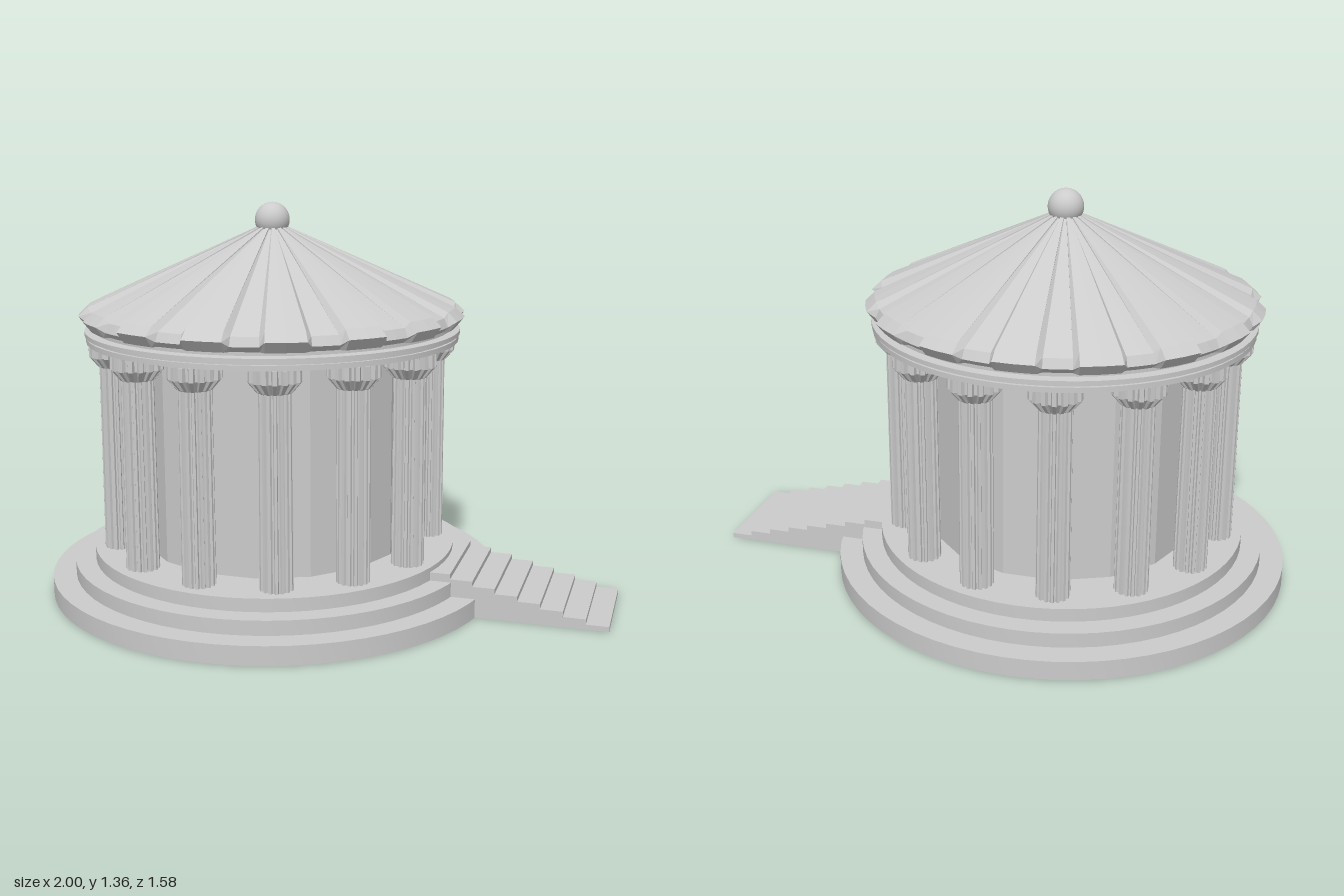
import * as THREE from 'three';
import { toCreasedNormals } from 'three/addons/utils/BufferGeometryUtils.js';

const grey = new THREE.MeshStandardMaterial({ color: 0xcccccc });
const flat = new THREE.MeshStandardMaterial({ color: 0xcccccc, flatShading: true });

function add(parent, name, geometry, material = grey) {
  const mesh = new THREE.Mesh(geometry, material);
  mesh.name = name;
  parent.add(mesh);
  return mesh;
}

// Skin closed rings of [angle, radius, y], listed from bottom to top
function loft(rings) {
  const n = rings[0].length, pos = [], index = [];
  for (const ring of rings)
    for (const [a, r, y] of ring) pos.push(r * Math.cos(a), y, r * Math.sin(a));
  for (let i = 0; i < rings.length - 1; i++)
    for (let j = 0; j < n; j++) {
      const a = i * n + j, b = i * n + (j + 1) % n, c = a + n, d = b + n;
      index.push(a, c, b, b, c, d);
    }
  const g = new THREE.BufferGeometry();
  g.setAttribute('position', new THREE.Float32BufferAttribute(pos, 3));
  g.setIndex(index);
  g.computeVertexNormals();
  return g;
}

// Fluted ring: the radius alternates between fillet and groove
function flutedRing(r, y, flutes = 16, depth = 0.14) {
  const ring = [];
  for (let i = 0; i < flutes; i++)
    for (const [t, deep] of [[-0.2, 0], [0.2, 0], [0.36, 1], [0.64, 1]])
      ring.push([(i + t) / flutes * Math.PI * 2, r * (1 - deep * depth), y]);
  return ring;
}

// Roof ring: 16 raised ribs with sunken bays between them
function roofRing(rib, bay) {
  const ring = [];
  for (let i = 0; i < 16; i++)
    for (const [t, p] of [[-0.25, rib], [0, rib], [0.25, rib], [0.32, bay], [0.5, bay], [0.68, bay]])
      ring.push([(i + t) / 16 * Math.PI * 2, ...p]);
  return ring;
}

function lathe(points, segments = 64) {
  const g = new THREE.LatheGeometry(points.map(p => new THREE.Vector2(...p)), segments);
  return toCreasedNormals(g, 0.4);
}

export function createModel() {
  const model = new THREE.Group();
  model.name = 'roundTemple';
  const temple = new THREE.Group();
  temple.name = 'rotunda';
  temple.position.x = -0.21;
  model.add(temple);

  // Three-stepped round platform
  add(temple, 'platform', lathe([
    [0, 0], [0.79, 0], [0.79, 0.065], [0.71, 0.065], [0.71, 0.115],
    [0.64, 0.115], [0.64, 0.16], [0, 0.16],
  ]));

  // Faceted inner chamber, one facet facing the stairs
  const chamber = add(temple, 'chamberWall',
    new THREE.CylinderGeometry(0.46, 0.46, 0.72, 16), flat);
  chamber.position.y = 0.51;
  chamber.rotation.y = Math.PI / 16;

  // Thirteen fluted columns, with a wider gap at the stairs
  const shaft = loft([flutedRing(0.056, 0.16), flutedRing(0.054, 0.81)]);
  const capital = loft([
    flutedRing(0.048, 0.80), flutedRing(0.058, 0.805), flutedRing(0.088, 0.84),
    flutedRing(0.088, 0.885), flutedRing(0.001, 0.887),
  ]);
  for (let i = 0; i < 13; i++) {
    const a = THREE.MathUtils.degToRad(16.5 + i * 27);
    const column = new THREE.Group();
    column.name = 'column';
    column.position.set(0.55 * Math.cos(a), 0, 0.55 * Math.sin(a));
    column.rotation.y = -a;
    add(column, 'shaft', shaft, flat);
    add(column, 'capital', capital, flat);
    temple.add(column);
  }

  // Entablature with a gently sloping soffit
  add(temple, 'entablature', lathe([
    [0.44, 0.86], [0.63, 0.888], [0.645, 0.888], [0.645, 0.905], [0.635, 0.905],
    [0.635, 0.912], [0.65, 0.912], [0.65, 0.927], [0.62, 0.93], [0.62, 0.955], [0, 0.955],
  ]));

  // Ribbed conical roof; each rib ends in a projecting eave block
  add(temple, 'roof', loft([
    roofRing([0.45, 0.942], [0.45, 0.942]),
    roofRing([0.64, 0.942], [0.622, 0.942]),
    roofRing([0.668, 0.978], [0.642, 0.96]),
    roofRing([0.636, 1.008], [0.628, 0.99]),
    roofRing([0.01, 1.29], [0.01, 1.285]),
  ]), flat);

  // Finial ball
  add(temple, 'finial', new THREE.SphereGeometry(0.06, 32, 20)).position.y = 1.295;

  // Straight flight of eight steps on the left side
  const profile = new THREE.Shape();
  profile.moveTo(0.3, 0);
  profile.lineTo(1, 0);
  for (let i = 0; i < 8; i++) {
    const x = 1 - i * 0.0755, y = (i + 1) * 0.018;
    profile.lineTo(x, y);
    profile.lineTo(i < 7 ? x - 0.0755 : 0.3, y);
  }
  profile.closePath();
  const stairs = new THREE.ExtrudeGeometry(profile, { depth: 0.37, bevelEnabled: false });
  stairs.translate(0, 0, -0.185);
  add(model, 'stairs', stairs, flat);

  return model;
}
